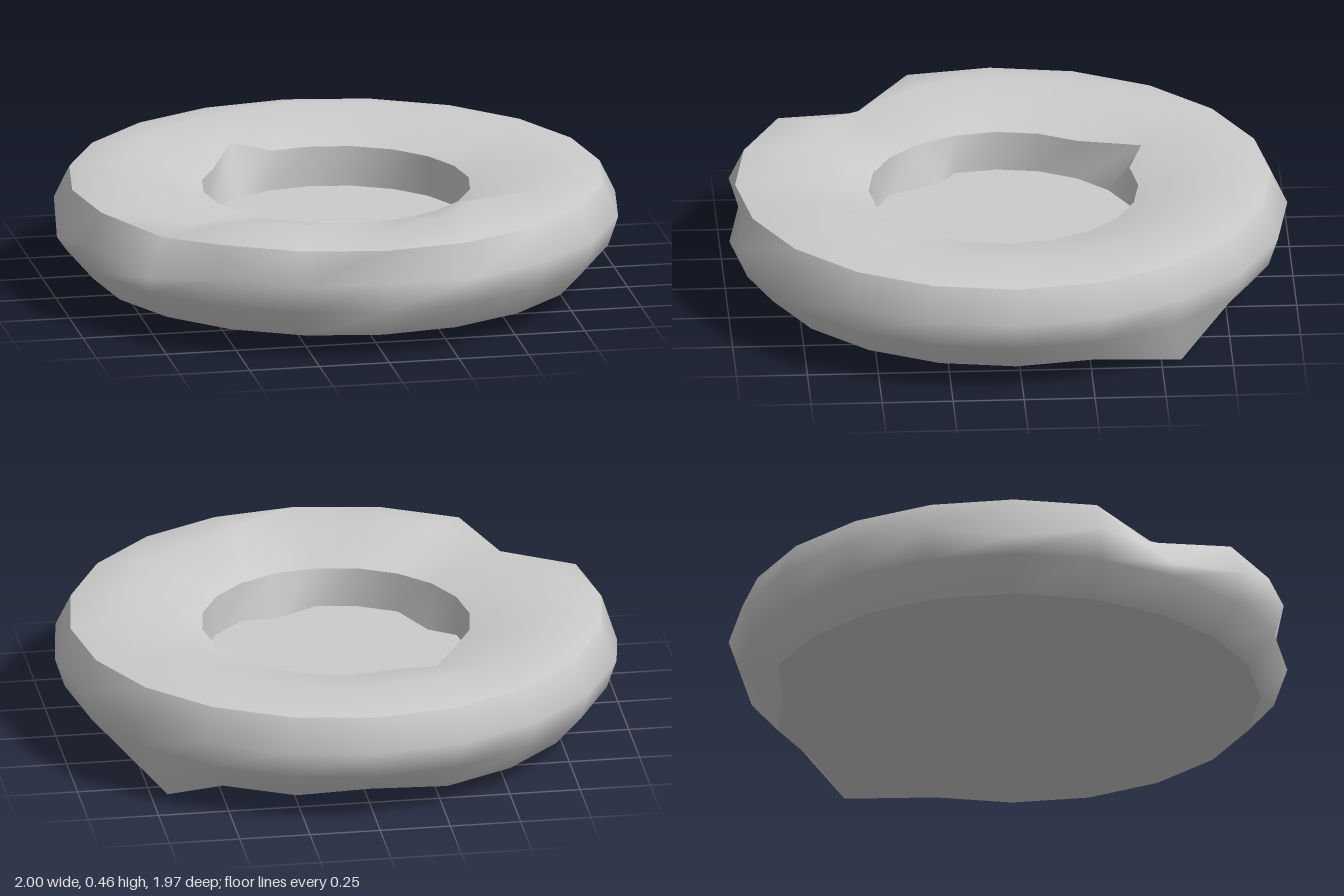
import * as THREE from 'three';

const SIDES = 20;
const CENTRE_Z = 0.02;

// One ring of points around the vertical axis; k = 0 faces the front.
function ring(radius, y, dents = {}) {
  return Array.from({ length: SIDES }, (_, k) => {
    if (dents[k]) return dents[k];
    const a = (k / SIDES) * Math.PI * 2;
    return [radius * Math.sin(a), y, CENTRE_Z + radius * Math.cos(a)];
  });
}

// Smooth skin through successive rings, shared vertices all round.
function band(rings) {
  const index = [];
  for (let r = 0; r < rings.length - 1; r++) {
    for (let k = 0; k < SIDES; k++) {
      const n = (k + 1) % SIDES;
      const a = r * SIDES + k, b = r * SIDES + n;
      index.push(a, b, b + SIDES, a, b + SIDES, a + SIDES);
    }
  }
  return build(rings.flat(2), index);
}

// Fan from a ring to a centre point, facing up or down.
function disc(points, centreY, up) {
  const index = [];
  for (let k = 0; k < SIDES; k++) {
    const n = (k + 1) % SIDES;
    index.push(SIDES, up ? k : n, up ? n : k);
  }
  return build([...points.flat(), 0, centreY, CENTRE_Z], index);
}

function build(positions, index) {
  const g = new THREE.BufferGeometry();
  g.setAttribute('position', new THREE.Float32BufferAttribute(positions, 3));
  g.setIndex(index);
  g.computeVertexNormals();
  return g;
}

export function createModel() {
  const group = new THREE.Group();
  group.name = 'stoneRing';
  const material = new THREE.MeshStandardMaterial({ color: 0xcccccc });
  const add = (name, geometry) => {
    const mesh = new THREE.Mesh(geometry, material);
    mesh.name = name;
    group.add(mesh);
  };

  // Cross-section rings from the base, over the top, into the basin, with chips
  const base = ring(0.87, 0.07, { 7: [0.69, 0, -0.57], 10: [0, 0.07, -0.79] });
  const lower = ring(0.965, 0.18);
  const middle = ring(1, 0.285, {
    0: [0, 0.27, 0.94], 15: [-1, 0.23, 0.02], 17: [-0.78, 0.23, 0.58],
  });
  const rim = ring(0.945, 0.4, { 17: [-0.71, 0.345, 0.47] });
  const crest = ring(0.76, 0.44, {
    0: [0, 0.4, 0.78], 2: [0.38, 0.455, 0.6], 6: [0.7, 0.42, -0.22],
    12: [-0.45, 0.425, -0.6], 17: [-0.6, 0.4, 0.5],
  });
  const lip = ring(0.475, 0.365, { 12: [-0.28, 0.39, -0.48] });
  const floor = ring(0.475, 0.22, { 1: [0.15, 0.22, 0.41], 17: [-0.36, 0.22, 0.23] });

  add('outerWall', band([base, lower, middle, rim]));
  add('topFace', band([rim, crest, lip]));
  add('innerWall', band([lip, floor]));
  add('basinFloor', disc(floor, 0.22, true));
  add('underside', disc(base, 0.05, false));
  return group;
}
